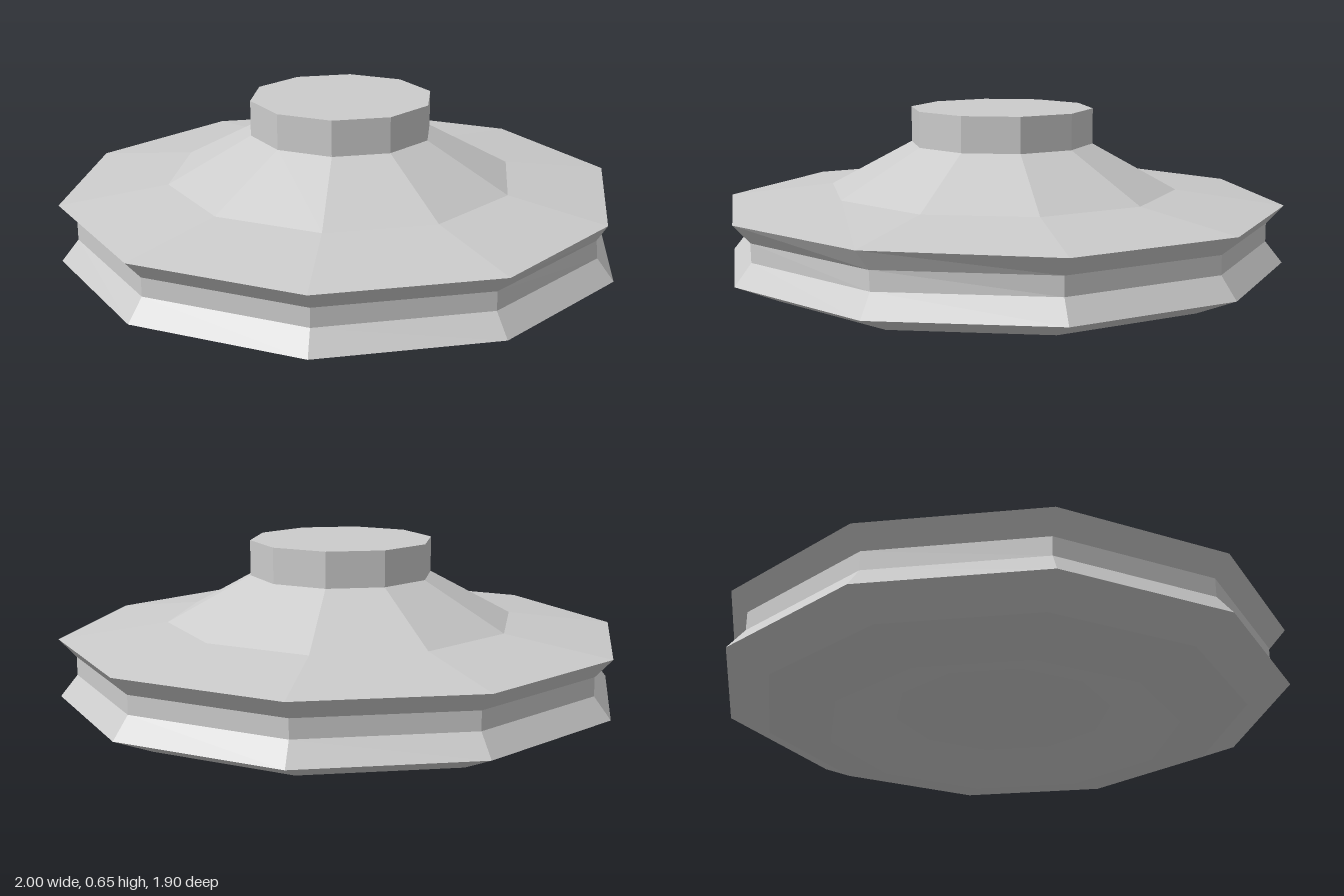
import * as THREE from 'three';

const SIDES = 10;

// Ten-sided ring of facets turned from a bottom-to-top profile of [radius, y]
function turned(name, profile) {
  const points = profile.map(([r, y]) => new THREE.Vector2(r, y));
  const geometry = new THREE.LatheGeometry(points, SIDES, Math.PI / SIDES);
  // One front corner of the upper rim is pressed in slightly
  const p = geometry.attributes.position;
  for (let i = 0; i < p.count; i++) {
    const x = p.getX(i), y = p.getY(i), z = p.getZ(i);
    if (x > 0.2 && x < 0.4 && z > 0.8 && y > 0.25) {
      const push = y > 0.3 ? 1 : 0.2;
      p.setXYZ(i, x - 0.035 * push, y, z - 0.015 * push);
    }
  }
  geometry.computeVertexNormals();
  const material = new THREE.MeshStandardMaterial({ color: 0xcccccc, flatShading: true });
  const mesh = new THREE.Mesh(geometry, material);
  mesh.name = name;
  return mesh;
}

export function createModel() {
  const group = new THREE.Group();
  group.name = 'facetedDisc';
  group.add(
    // Hollowed underside
    turned('undersideRecess', [[0, 0.09], [0.38, 0.075], [0.62, 0]]),
    // Lower dish out to its rim
    turned('lowerDish', [[0.62, 0], [0.85, 0.05], [1, 0.115]]),
    // Groove between the two rims
    turned('rimGroove', [[1, 0.115], [0.94, 0.19], [0.94, 0.255], [1, 0.32]]),
    // Upper dish rising to the neck
    turned('upperDish', [[1, 0.32], [0.62, 0.37], [0.325, 0.53]]),
    // Flat-topped cap
    turned('topCap', [[0.325, 0.53], [0.325, 0.655], [0, 0.655]]),
  );
  return group;
}
